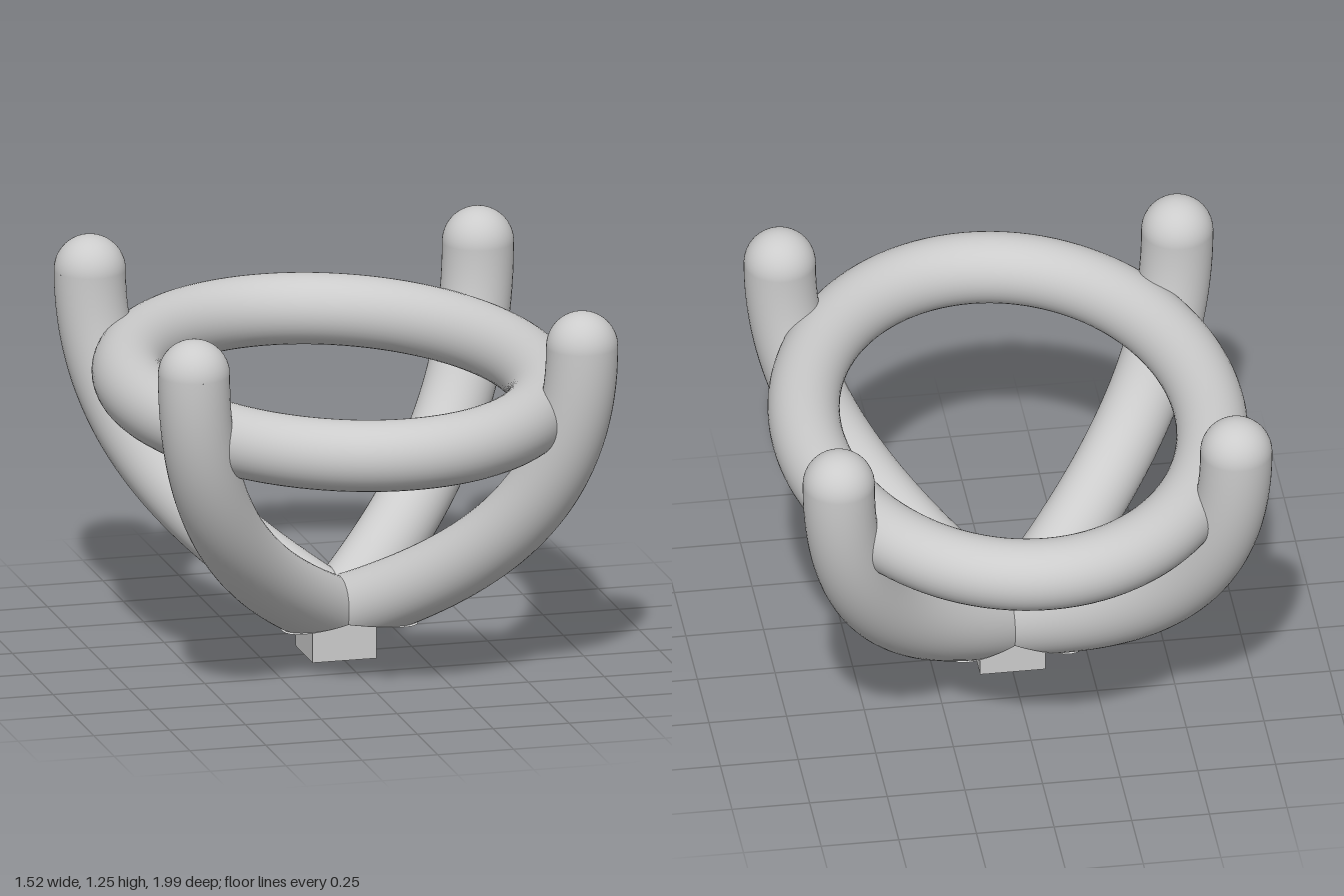
import * as THREE from 'three';

const R = 0.115; // tube radius of ring and prongs
const BASE_Y = 0.13; // level where the prongs are cut flat
const material = new THREE.MeshStandardMaterial({ color: 0xcccccc });

class RingCurve extends THREE.Curve {
  getPoint(t, target = new THREE.Vector3()) {
    const a = t * Math.PI * 2;
    return target.set(0.645 * Math.cos(a), 0.893, 0.882 * Math.sin(a));
  }
}

function addMesh(parent, geometry, name) {
  const mesh = new THREE.Mesh(geometry, material);
  mesh.name = name;
  parent.add(mesh);
  return mesh;
}

// One prong, drawn in the xy plane with x pointing outward
function createProng() {
  const prong = new THREE.Group();
  const k = Math.SQRT2;
  const start = new THREE.Vector3(0, BASE_Y, 0);
  const control = new THREE.Vector3(0.29 * k, 0.305, 0);
  const top = new THREE.Vector3(0.64 * k, 1.138, 0);
  const dir = control.clone().sub(start).normalize();

  // Straight lead-in past the centre, then a curve that ends upright
  const path = new THREE.CurvePath();
  const leadIn = start.clone().addScaledVector(dir, -R * dir.x / dir.y);
  path.add(new THREE.LineCurve3(leadIn, start));
  path.add(new THREE.CubicBezierCurve3(start, control, new THREE.Vector3(0.64 * k, 0.55, 0), top));
  const tube = new THREE.TubeGeometry(path, 96, R, 40, false);

  // Slide everything below the base along the tube, giving a level cut
  const p = tube.attributes.position;
  for (let i = 0; i < p.count; i++) {
    const drop = BASE_Y - p.getY(i);
    if (drop > 0) p.setXY(i, p.getX(i) + drop * dir.x / dir.y, BASE_Y);
  }
  addMesh(prong, tube, 'prongStem');

  // Elliptical underside of the cut
  const cut = new THREE.CircleGeometry(R, 40).rotateX(Math.PI / 2).scale(1 / dir.y, 1, 1);
  addMesh(prong, cut, 'prongUnderside').position.y = BASE_Y;

  // Rounded tip
  const dome = new THREE.SphereGeometry(R, 40, 16, 0, Math.PI * 2, 0, Math.PI / 2);
  addMesh(prong, dome, 'prongTip').position.copy(top);
  return prong;
}

export function createModel() {
  const model = new THREE.Group();
  model.name = 'prongSetting';

  // Oval ring
  addMesh(model, new THREE.TubeGeometry(new RingCurve(), 128, R, 40, true), 'ovalRing');

  // Four prongs on the diagonals
  for (let i = 0; i < 4; i++) {
    const prong = createProng();
    prong.name = 'prong' + (i + 1);
    prong.rotation.y = Math.PI / 4 + i * Math.PI / 2;
    model.add(prong);
  }

  // Square foot under the crossing
  addMesh(model, new THREE.BoxGeometry(0.21, 0.14, 0.21), 'foot').position.y = 0.07;
  return model;
}
